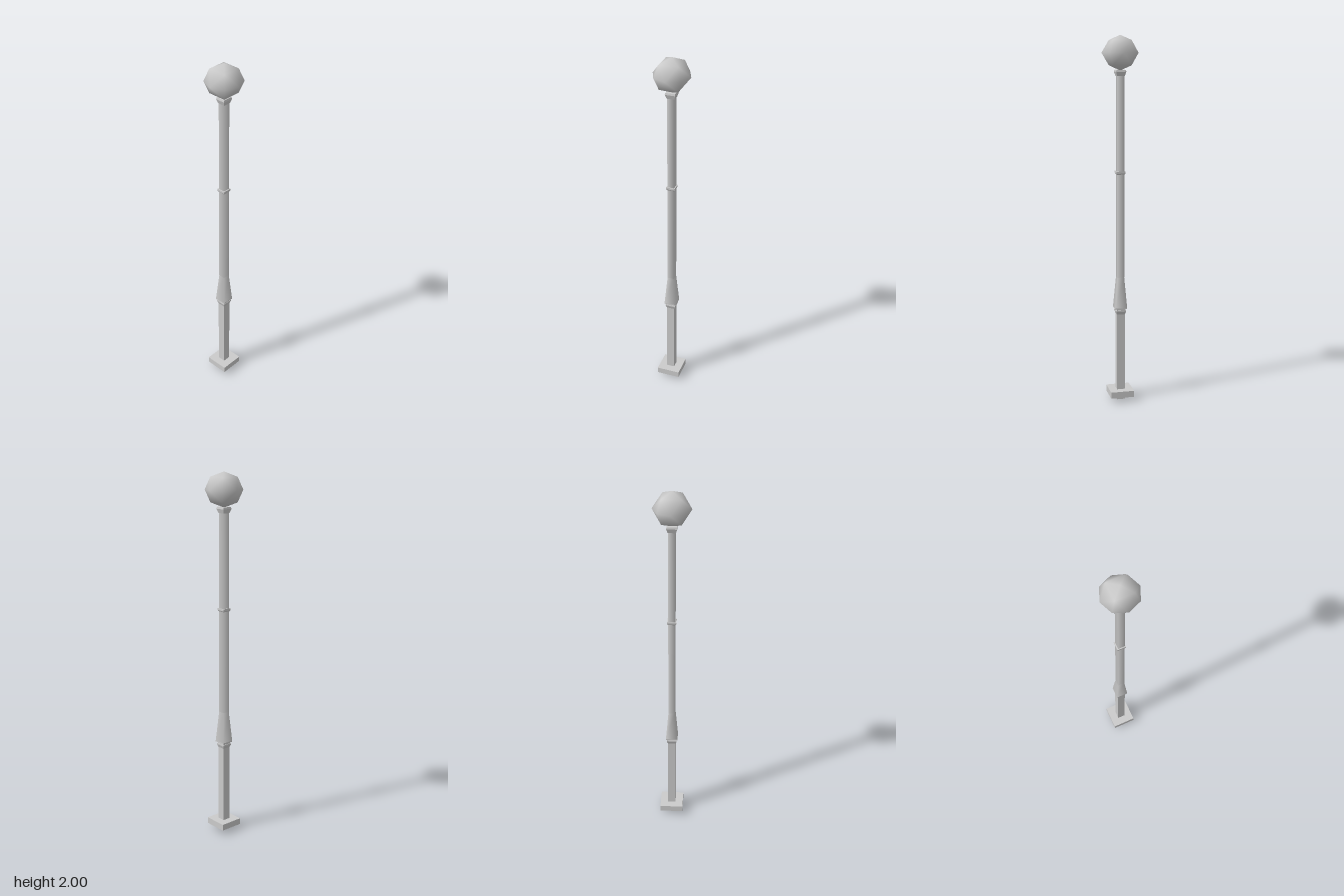
import * as THREE from 'three';

const smooth = new THREE.MeshStandardMaterial({ color: 0xcccccc });
const flat = new THREE.MeshStandardMaterial({ color: 0xcccccc, flatShading: true });
const flatOpen = new THREE.MeshStandardMaterial({ color: 0xcccccc, flatShading: true, side: THREE.DoubleSide });

export function createModel() {
  const group = new THREE.Group();

  function add(name, geometry, material) {
    const mesh = new THREE.Mesh(geometry, material);
    mesh.name = name;
    group.add(mesh);
    return mesh;
  }

  // Four-sided prism, corners on the x and z axes, from height y0 to y1
  function prism(name, y0, y1, r0, r1, material = flat) {
    const geometry = new THREE.CylinderGeometry(r1, r0, y1 - y0, 4);
    geometry.translate(0, (y0 + y1) / 2, 0);
    return add(name, geometry, material);
  }

  // Base plate: four walls and a lid, open underneath
  const base = new THREE.CylinderGeometry(0.092, 0.092, 0.035, 4, 1, true);
  base.translate(0, 0.0415, 0);
  add('basePlateWalls', base, flatOpen);
  const lid = new THREE.CircleGeometry(0.092, 4);
  lid.rotateX(-Math.PI / 2);
  lid.translate(0, 0.059, 0);
  add('basePlateTop', lid, flatOpen);

  // Lower column with its small capital
  prism('lowerColumn', 0, 0.495, 0.031, 0.031);
  prism('capital', 0.492, 0.508, 0.031, 0.039);
  prism('capitalRim', 0.508, 0.515, 0.039, 0.039);
  prism('columnNeck', 0.515, 0.525, 0.034, 0.034);

  // Flared foot and slender pole
  prism('flareRim', 0.524, 0.53, 0.046, 0.046);
  prism('flare', 0.53, 0.705, 0.046, 0.026, smooth);
  prism('pole', 0.7, 1.8, 0.027, 0.026, smooth);

  // Ring around the pole
  prism('ringLower', 1.267, 1.273, 0.029, 0.034);
  prism('ringUpper', 1.273, 1.284, 0.034, 0.034);

  // Collar holding the globe
  prism('collar', 1.788, 1.81, 0.029, 0.039);
  prism('collarRim', 1.81, 1.82, 0.039, 0.036);

  // Globe
  const globe = add('globe', new THREE.OctahedronGeometry(0.1, 1), smooth);
  globe.scale.y = 0.92;
  globe.position.y = 1.908;

  return group;
}
